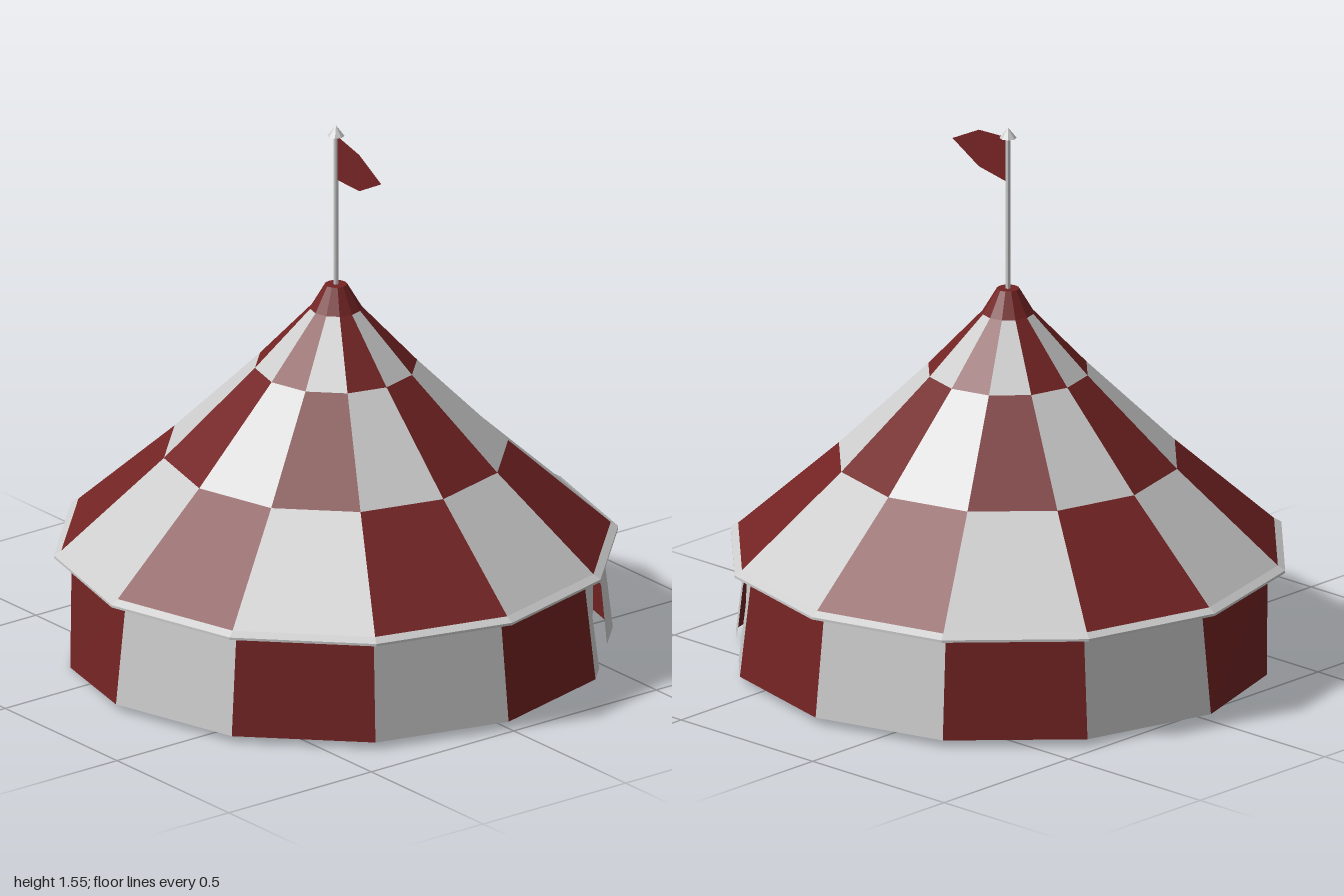
import * as THREE from 'three';
import { mergeGeometries } from 'three/addons/utils/BufferGeometryUtils.js';

const SIDES = 12;
const CENTRE_Z = 0.205;
const GREY = 0xcccccc;
const RED = 0x732323;

function material(color) {
  return new THREE.MeshStandardMaterial({ color, flatShading: true, side: THREE.DoubleSide });
}

function addMesh(parent, name, geometry, color) {
  const mesh = new THREE.Mesh(geometry, material(color));
  mesh.name = name;
  parent.add(mesh);
  return mesh;
}

// Corner k of a twelve-sided ring, counted from the front towards +x
function corner(k, radius, y) {
  const a = (k / SIDES) * Math.PI * 2;
  return new THREE.Vector3(Math.sin(a) * radius, y, Math.cos(a) * radius);
}

// Maps a flat outline in the unit square onto the patch between four corners
function patch(outline, bl, br, tr, tl) {
  const geometry = new THREE.ShapeGeometry(new THREE.Shape(outline.map(([u, v]) => new THREE.Vector2(u, v))));
  const pos = geometry.attributes.position;
  for (let i = 0; i < pos.count; i++) {
    const u = pos.getX(i), v = pos.getY(i);
    const low = bl.clone().lerp(br, u), high = tl.clone().lerp(tr, u);
    const p = low.lerp(high, v);
    pos.setXYZ(i, p.x, p.y, p.z);
  }
  geometry.computeVertexNormals();
  return geometry;
}

const SQUARE = [[0, 0], [1, 0], [1, 1], [0, 1]];
// Panel outline with a pointed doorway notched into its lower edge
const DOORWAY = [[0, 0], [0.21, 0], [0.18, 0.5], [0.43, 0.8], [0.72, 0.56], [0.66, 0],
  [1, 0], [1, 1], [0, 1]];

function wallFoot(k) {
  const p = corner(k, 0.772, 0.02);
  // Two back corners sag to the ground
  if (k === 7 || k === 8) {
    p.y = 0;
    p.z += 0.05;
  }
  return p;
}

export function createModel() {
  const model = new THREE.Group();
  model.name = 'tent';
  const tent = new THREE.Group();
  tent.name = 'tentBody';
  tent.position.z = CENTRE_Z;
  model.add(tent);

  // Side walls, alternating red and grey, with the doorway in one panel
  const walls = { red: [], grey: [] };
  for (let k = 0; k < SIDES; k++) {
    const next = (k + 1) % SIDES;
    walls[k % 2 ? 'grey' : 'red'].push(patch(k === 1 ? DOORWAY : SQUARE,
      wallFoot(k), wallFoot(next), corner(next, 0.737, 0.32), corner(k, 0.737, 0.32)));
  }
  addMesh(tent, 'redWalls', mergeGeometries(walls.red), RED);
  addMesh(tent, 'greyWalls', mergeGeometries(walls.grey), GREY);

  // Chequered roof in three bands, with a plain red peak
  const rings = [[0.778, 0.32], [0.48, 0.59], [0.226, 0.843], [0.072, 1.01], [0.031, 1.08]];
  const roof = { red: [], grey: [] };
  for (let band = 0; band < rings.length - 1; band++) {
    const [r0, y0] = rings[band], [r1, y1] = rings[band + 1];
    for (let k = 0; k < SIDES; k++) {
      const isRed = band === 3 || (k + band) % 2 === 1;
      roof[isRed ? 'red' : 'grey'].push(patch(SQUARE,
        corner(k, r0, y0), corner(k + 1, r0, y0), corner(k + 1, r1, y1), corner(k, r1, y1)));
    }
  }
  addMesh(tent, 'redRoof', mergeGeometries(roof.red), RED);
  addMesh(tent, 'greyRoof', mergeGeometries(roof.grey), GREY);

  // Flat top of the peak
  const peak = new THREE.CircleGeometry(0.031, SIDES).rotateX(-Math.PI / 2);
  addMesh(tent, 'peakTop', peak.translate(0, 1.08, 0), RED);

  // Narrow trim around the eaves
  const trim = [[0.766, 0.331], [0.787, 0.318], [0.787, 0.311], [0.775, 0.311]]
    .map(([r, y]) => new THREE.Vector2(r, y)).reverse();
  addMesh(tent, 'eavesTrim', new THREE.LatheGeometry(trim, SIDES), GREY);

  // Flagpole and its pointed finial
  const pole = new THREE.CylinderGeometry(0.007, 0.007, 0.46, 8);
  addMesh(tent, 'flagpole', pole.translate(0, 1.3, 0), GREY);
  const finial = new THREE.ConeGeometry(0.024, 0.03, 8);
  addMesh(tent, 'finial', finial.translate(0, 1.535, 0), GREY);

  // Pennant flying forwards, bowed slightly sideways
  const flag = new THREE.BufferGeometry();
  flag.setAttribute('position', new THREE.Float32BufferAttribute([
    0, 1.39, 0.006, 0, 1.52, 0.006,
    -0.02, 1.4, 0.13, -0.02, 1.507, 0.13,
    -0.027, 1.455, 0.237,
  ], 3));
  flag.setIndex([0, 2, 1, 1, 2, 3, 2, 4, 3]);
  flag.computeVertexNormals();
  addMesh(tent, 'flag', flag, RED);

  return model;
}
